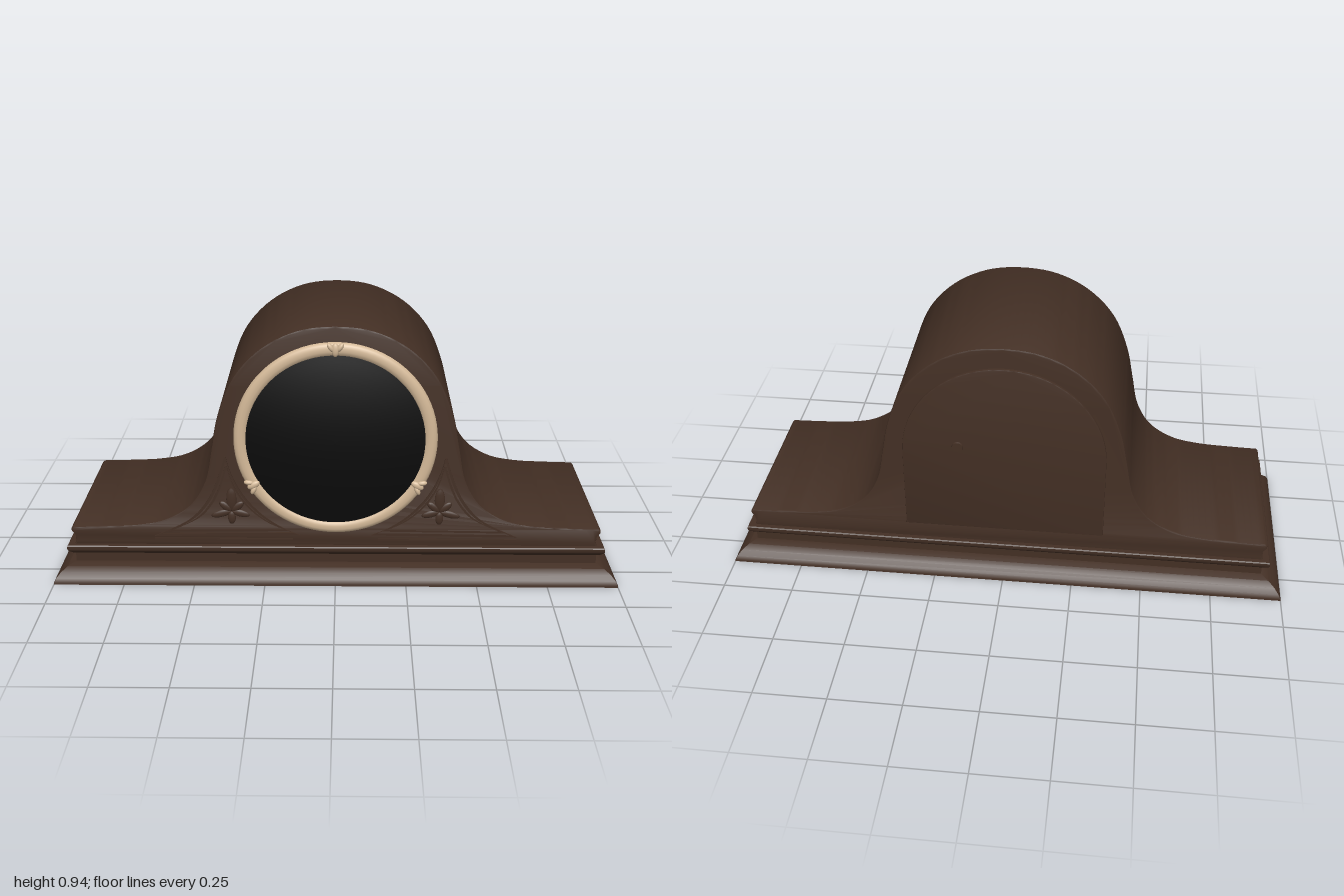
import * as THREE from 'three';
import { toCreasedNormals } from 'three/addons/utils/BufferGeometryUtils.js';

const V2 = (x, y) => new THREE.Vector2(x, y);
const material = (name, color) => {
  const m = new THREE.MeshStandardMaterial({ color });
  m.name = name;
  return m;
};

export function createModel() {
  const wood = material('dark walnut', 0x432f24);
  const brass = material('pale brass', 0xd3b897);
  const glass = material('black glass', 0x0a0a0a);
  const model = new THREE.Group();
  model.name = 'mantelClock';

  const add = (name, geometry, mat, parent = model) => {
    const mesh = new THREE.Mesh(geometry, mat);
    mesh.name = name;
    parent.add(mesh);
    return mesh;
  };

  // Rectangular moulding: a [half depth, height] profile run around four sides
  const moulding = (profile, extraX) => {
    const pos = [];
    const signs = [[1, 1], [1, -1], [-1, -1], [-1, 1]];
    const rings = profile.map(([d, y]) => signs.map(([sx, sz]) => [sx * (d + extraX), y, sz * d]));
    const quad = (a, b, c, d) => pos.push(...a, ...b, ...c, ...a, ...c, ...d);
    for (let i = 0; i < rings.length - 1; i++) {
      for (let k = 0; k < 4; k++) {
        const n = (k + 1) % 4;
        quad(rings[i][k], rings[i][n], rings[i + 1][n], rings[i + 1][k]);
      }
    }
    quad(...rings[rings.length - 1]);
    quad(...[...rings[0]].reverse());
    const g = new THREE.BufferGeometry();
    g.setAttribute('position', new THREE.Float32BufferAttribute(pos, 3));
    return toCreasedNormals(g, 0.6);
  };

  // Extrusion between two z planes with a small bevel kept inside the outline
  const slab = (shape, z0, z1, bevel, crease = 0.5) => {
    const g = new THREE.ExtrudeGeometry(shape, {
      depth: z1 - z0 - 2 * bevel, curveSegments: 32, bevelEnabled: bevel > 0,
      bevelSize: bevel, bevelThickness: bevel, bevelOffset: -bevel, bevelSegments: 2,
    });
    g.translate(0, 0, z0 + bevel);
    return toCreasedNormals(g, crease);
  };

  // Stepped plinth
  add('plinth', moulding([
    [0.365, 0], [0.365, 0.006], [0.357, 0.02], [0.342, 0.037], [0.32, 0.051], [0.294, 0.06],
    [0.294, 0.095], [0.302, 0.096], [0.314, 0.108], [0.318, 0.114], [0.318, 0.126],
    [0.315, 0.13], [0.3, 0.131],
  ], 0.635), wood);

  // Humped case, its outline mirrored about the centre
  const half = [[0.93, 0.197], [0.82, 0.2], [0.7, 0.207], [0.6, 0.228], [0.51, 0.285], [0.455, 0.375],
    [0.428, 0.5], [0.403, 0.62], [0.345, 0.76], [0.25, 0.862], [0.13, 0.923]];
  const crown = new THREE.CatmullRomCurve3(
    [...half, [0, 0.94], ...half.map(([x, y]) => [-x, y]).reverse()]
      .map(([x, y]) => new THREE.Vector3(x, y, 0))).getPoints(110);
  const endTrim = [[0.93, 0.125], [0.922, 0.145], [0.926, 0.165], [0.937, 0.18], [0.937, 0.19]];
  add('case', slab(new THREE.Shape([
    ...endTrim.map(([x, y]) => V2(x, y)),
    ...crown.map((p) => V2(p.x, p.y)),
    ...endTrim.map(([x, y]) => V2(-x, y)).reverse(),
  ]), -0.3, 0.3, 0.006), wood);

  // Dial: ring bezel and domed glass
  const dial = new THREE.Group();
  dial.name = 'dial';
  dial.position.set(0, 0.535, 0.3);
  model.add(dial);
  const turned = (pts) =>
    new THREE.LatheGeometry(pts.map(([r, h]) => V2(r, h)), 80).rotateX(Math.PI / 2);
  add('bezel', turned([[0.351, -0.002], [0.35, 0.008], [0.344, 0.016], [0.334, 0.02],
    [0.322, 0.02], [0.312, 0.017], [0.305, 0.01], [0.305, 0]]), brass, dial);
  const dome = [];
  for (let i = 0; i <= 12; i++) {
    const t = i / 12;
    dome.push([0.308 * (1 - t), 0.014 + 0.027 * (1 - (1 - t) ** 2)]);
  }
  add('glass', turned(dome), glass, dial);

  // Three small leaf clasps on the bezel
  for (const deg of [90, 210, 330]) {
    const clasp = new THREE.Group();
    clasp.name = 'bezelClasp';
    clasp.rotation.z = THREE.MathUtils.degToRad(deg - 90);
    dial.add(clasp);
    const bead = (x, y, rx, ry, tilt) => {
      const m = add('claspLeaf', new THREE.SphereGeometry(1, 14, 10), brass, clasp);
      m.scale.set(rx, ry, 0.01);
      m.position.set(x, y, 0.018);
      m.rotation.z = tilt;
    };
    bead(0, 0.328, 0.013, 0.024, 0);
    for (const s of [-1, 1]) bead(s * 0.016, 0.337, 0.009, 0.018, -s * 0.6);
  }

  // Carved corner panels beside the dial
  for (const s of [-1, 1]) {
    const panel = new THREE.Group();
    panel.name = s > 0 ? 'leftCarving' : 'rightCarving';
    model.add(panel);
    const c = V2(0.365, 0.262);
    const outline = [];
    for (let i = 0; i <= 16; i++) {
      const a = THREE.MathUtils.degToRad(-71 + (61 * i) / 16);
      outline.push(V2(0.385 * Math.cos(a), 0.535 + 0.385 * Math.sin(a)));
    }
    const outer = [[0.385, 0.47], [0.415, 0.375], [0.455, 0.295], [0.52, 0.225], [0.64, 0.165]];
    outline.push(...new THREE.SplineCurve(outer.map(([x, y]) => V2(x, y))).getPoints(16));
    const ring = (k) => outline.map((p) =>
      V2(s * (c.x + (p.x - c.x) * k), c.y + (p.y - c.y) * k));
    // Two nested raised frames
    for (const [k0, k1, z] of [[1, 0.9, 0.305], [0.84, 0.76, 0.303]]) {
      const frame = new THREE.Shape(ring(k0));
      frame.holes.push(new THREE.Path(ring(k1)));
      add('carvedFrame', slab(frame, 0.298, z, 0), wood, panel);
    }
    // Spray of leaves
    for (const [deg, len, w] of [[90, 0.09, 0.018], [40, 0.055, 0.013], [140, 0.055, 0.013],
      [-15, 0.075, 0.013], [195, 0.065, 0.013], [270, 0.05, 0.014]]) {
      const a = THREE.MathUtils.degToRad(deg);
      const leaf = add('leaf', new THREE.SphereGeometry(1, 12, 8), wood, panel);
      leaf.scale.set(len / 2, w, 0.006);
      leaf.position.set(s * (c.x + Math.cos(a) * len / 2), c.y + Math.sin(a) * len / 2, 0.3);
      leaf.rotation.z = s > 0 ? a : Math.PI - a;
    }
    // Straight bead under the panel
    const bead = add('baseBead', new THREE.BoxGeometry(0.49, 0.006, 0.008), wood, panel);
    bead.position.set(s * 0.395, 0.154, 0.301);
  }

  // Arched back door with its knob
  const door = new THREE.Shape();
  door.moveTo(-0.355, 0.195);
  door.lineTo(0.355, 0.195);
  door.lineTo(0.355, 0.51);
  door.absarc(0, 0.51, 0.355, 0, Math.PI, false);
  door.closePath();
  add('backDoor', slab(door, -0.309, -0.297, 0.003), wood);
  const knob = add('doorKnob', new THREE.CylinderGeometry(0.018, 0.021, 0.008, 24), wood);
  knob.rotation.x = -Math.PI / 2;
  knob.position.set(0.16, 0.545, -0.31);

  return model;
}
